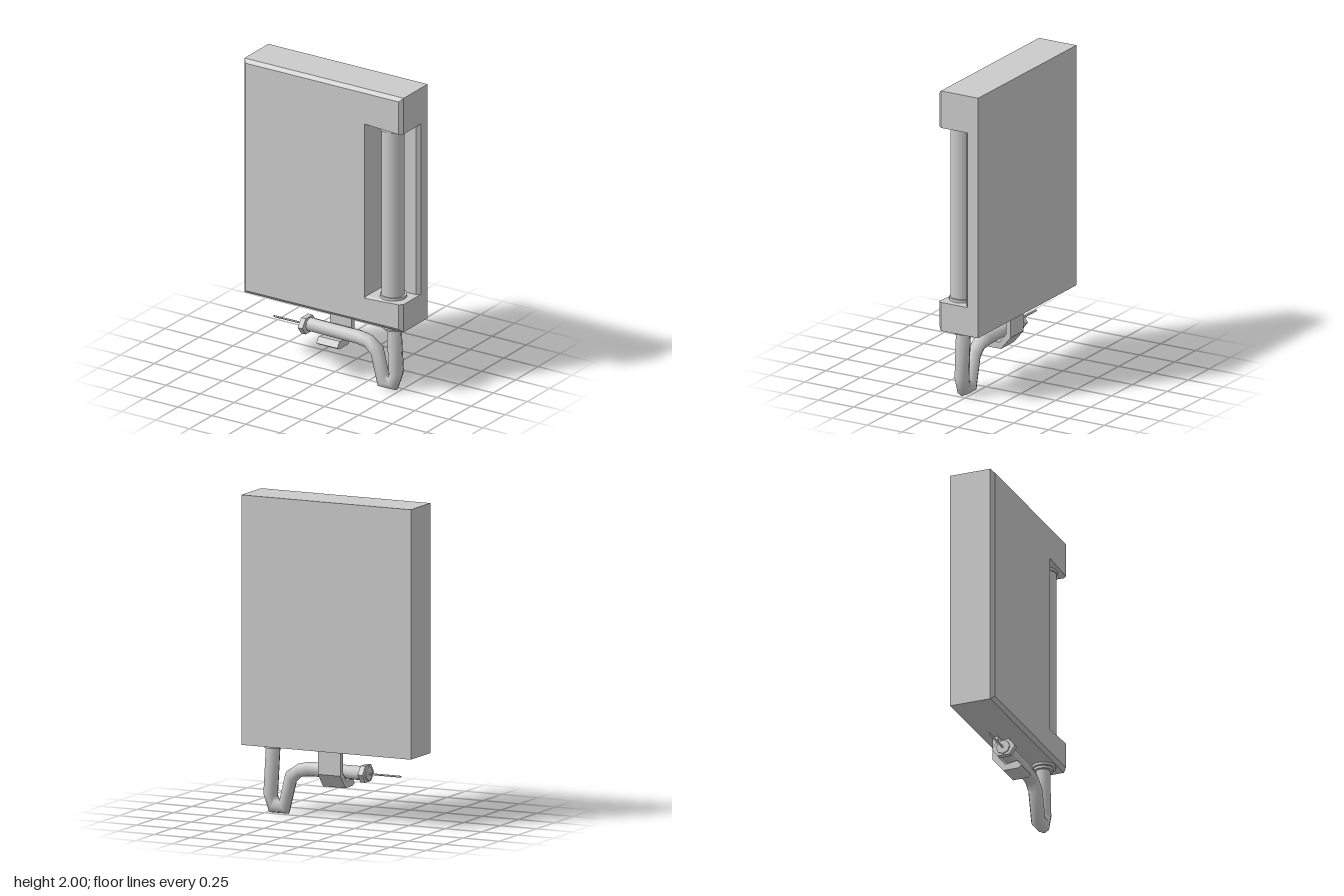
import * as THREE from 'three';

const grey = new THREE.MeshStandardMaterial({ color: 0xcccccc });

function addMesh(group, name, geometry, x = 0, y = 0, z = 0) {
  const mesh = new THREE.Mesh(geometry, grey);
  mesh.name = name;
  mesh.position.set(x, y, z);
  group.add(mesh);
  return mesh;
}

function extrude(points, depth) {
  const shape = new THREE.Shape(points.map(([x, y]) => new THREE.Vector2(x, y)));
  return new THREE.ExtrudeGeometry(shape, { depth, bevelEnabled: false });
}

// Extrusion whose front outline is replaced by a second, inset outline
function taperedExtrude(outer, inset, depth) {
  const geo = extrude(outer, depth);
  const p = geo.attributes.position;
  for (let i = 0; i < p.count; i++) {
    if (p.getZ(i) < depth / 2) continue;
    const k = outer.findIndex(([x, y]) => Math.hypot(x - p.getX(i), y - p.getY(i)) < 1e-4);
    p.setXY(i, inset[k][0], inset[k][1]);
  }
  geo.computeVertexNormals();
  return geo;
}

// Pipe given by pairs of opposite edge points in the xy plane
function pipeGeometry(stations, halfZ, sides) {
  const pos = [], index = [];
  for (const [ax, ay, bx, by] of stations) {
    for (let j = 0; j < sides; j++) {
      const a = (j / sides) * Math.PI * 2, c = Math.cos(a) / 2;
      pos.push((ax + bx) / 2 + (ax - bx) * c, (ay + by) / 2 + (ay - by) * c, halfZ * Math.sin(a));
    }
  }
  for (let i = 0; i < stations.length - 1; i++) {
    for (let j = 0; j < sides; j++) {
      const k = (j + 1) % sides, a = i * sides, b = a + sides;
      index.push(a + j, a + k, b + k, a + j, b + k, b + j);
    }
  }
  const geo = new THREE.BufferGeometry();
  geo.setAttribute('position', new THREE.Float32BufferAttribute(pos, 3));
  geo.setIndex(index);
  geo.computeVertexNormals();
  return geo;
}

export function createModel() {
  const model = new THREE.Group();
  model.name = 'wallTank';

  // Housing with a recess open to the front and to the left side
  const housing = new THREE.Group();
  housing.name = 'housing';
  model.add(housing);
  const outline = [[-0.585, 0.44], [0.585, 0.44], [0.585, 0.625], [0.32, 0.625],
    [0.32, 1.76], [0.585, 1.76], [0.585, 2], [-0.585, 2]];
  const inset = [[-0.563, 0.462], [0.563, 0.462], [0.563, 0.625], [0.31, 0.612],
    [0.31, 1.773], [0.563, 1.76], [0.563, 1.978], [-0.563, 1.978]];
  addMesh(housing, 'housingBody', extrude(outline, 0.268), 0, 0, -0.145);
  addMesh(housing, 'housingFrontChamfer', taperedExtrude(outline, inset, 0.022), 0, 0, 0.123);

  // Back wall of the recess, drawn as a plan section (x, -z)
  const wall = extrude([[0.32, 0.145], [0.585, 0.145], [0.585, 0.07], [0.563, 0.05],
    [0.335, 0.05], [0.32, 0.02]], 1.135);
  wall.rotateX(-Math.PI / 2);
  addMesh(housing, 'recessBackWall', wall, 0, 0.625, 0);

  // Sight tube standing in the recess
  addMesh(model, 'sightTube', new THREE.CylinderGeometry(0.071, 0.071, 1.135, 16), 0.457, 1.1925, 0.048);
  for (const y of [0.634, 1.751]) {
    addMesh(model, 'sightTubeCollar', new THREE.CylinderGeometry(0.085, 0.085, 0.018, 16), 0.457, y, 0.042);
  }

  // Outlet fitting under the housing
  addMesh(model, 'outletFlange', new THREE.CylinderGeometry(0.075, 0.075, 0.016, 16), 0.457, 0.432, 0.042);
  addMesh(model, 'outletCollar', new THREE.CylinderGeometry(0.06, 0.06, 0.018, 16), 0.457, 0.416, 0.04);

  // Hose: down, round the low bend and along to the nozzle
  const hose = [
    [0.505, 0.43, 0.41, 0.43], [0.523, 0.12, 0.428, 0.105], [0.48, 0, 0.424, 0.09],
    [0.35, 0, 0.41, 0.09], [0.3, 0.2, 0.368, 0.262], [0.262, 0.238, 0.285, 0.318],
    [0.2, 0.246, 0.208, 0.336], [-0.18, 0.25, -0.18, 0.338]];
  addMesh(model, 'hose', pipeGeometry(hose, 0.047, 8), 0, 0, 0.037);

  // Nozzle: six-sided collar, wider front to back, with a thin tip
  const collar = new THREE.CylinderGeometry(0.06, 0.06, 0.034, 6).toNonIndexed();
  collar.computeVertexNormals();
  collar.rotateZ(Math.PI / 2);
  collar.scale(1, 1, 1.3);
  addMesh(model, 'nozzleCollar', collar, -0.177, 0.293, 0.045);
  const ring = new THREE.CylinderGeometry(0.045, 0.045, 0.012, 8);
  ring.rotateZ(Math.PI / 2);
  addMesh(model, 'nozzleEnd', ring, -0.196, 0.293, 0.045);
  const tip = new THREE.CylinderGeometry(0.006, 0.006, 0.23, 6);
  tip.rotateZ(Math.PI / 2);
  addMesh(model, 'nozzleTip', tip, -0.305, 0.291, 0.045);

  // Hook that carries the nozzle, drawn as a side section (z, y)
  const hook = [[-0.08, 0.445], [-0.08, 0.285], [-0.01, 0.2], [0.09, 0.2], [0.113, 0.215],
    [0.085, 0.252], [0.005, 0.24], [-0.045, 0.3], [-0.045, 0.445]];
  const hookGeo = extrude(hook.map(([z, y]) => [-z, y]), 0.155);
  hookGeo.rotateY(Math.PI / 2);
  addMesh(model, 'nozzleHook', hookGeo, -0.065, 0, 0);

  return model;
}
